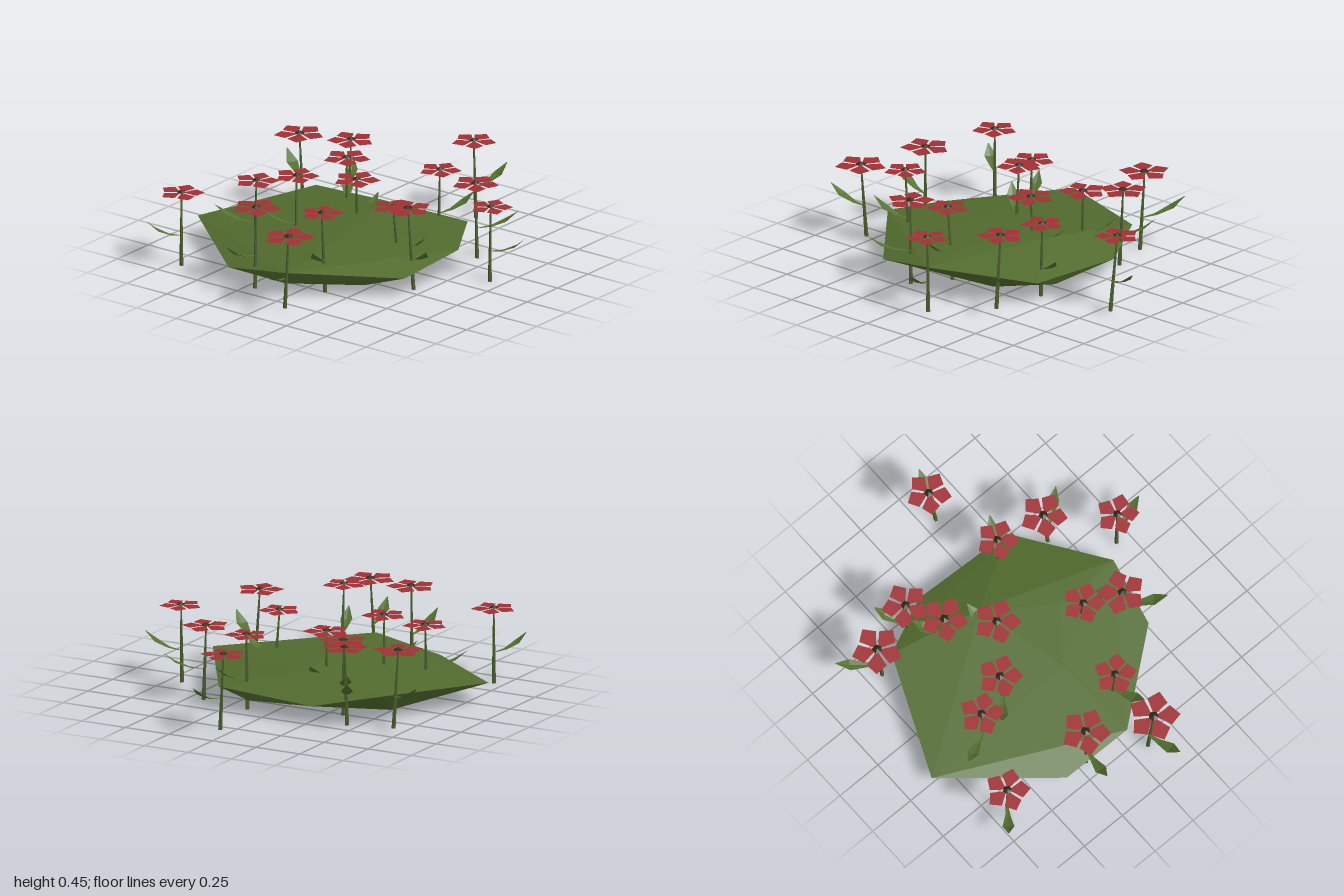
import * as THREE from 'three';
import { ConvexGeometry } from 'three/addons/geometries/ConvexGeometry.js';

const material = (color, side = THREE.FrontSide) =>
  new THREE.MeshStandardMaterial({ color, side, flatShading: true });

// Skin a strip through rows of points that all have the same length
function strip(rows) {
  const n = rows[0].length, index = [];
  for (let i = 0; i < rows.length - 1; i++) {
    for (let j = 0; j < n - 1; j++) {
      const a = i * n + j, b = a + n;
      index.push(a, a + 1, b, a + 1, b + 1, b);
    }
  }
  const geometry = new THREE.BufferGeometry();
  geometry.setAttribute('position', new THREE.Float32BufferAttribute(rows.flat(2), 3));
  geometry.setIndex(index);
  geometry.computeVertexNormals();
  return geometry;
}

// head [x, z, height], foot [x, z], leaf tip [x, z], petal angle in degrees, head scale
const FLOWERS = [
  [[-0.63, -0.69, 0.405], [-0.63, -0.69], [-0.77, -0.8], -18, 1],
  [[0.355, -0.7, 0.425], [0.35, -0.67], [0.475, -0.87], 6, 1.12],
  [[-0.235, -0.52, 0.39], [-0.25, -0.52], [-0.345, -0.7], -20, 1],
  [[-0.155, -0.33, 0.435], [-0.17, -0.32], [-0.3, -0.44], -16, 1],
  [[0.265, -0.335, 0.405], [0.26, -0.33], [0.4, -0.43], -5, 1.05],
  [[0.44, -0.44, 0.425], [0.415, -0.44], [0.575, -0.53], 12, 1.05],
  [[0.09, -0.14, 0.385], [0.1, -0.14], [0.295, -0.16], -12, 1.05],
  [[-0.66, -0.2, 0.445], [-0.665, -0.2], [-0.865, -0.235], -8, 1.1],
  [[-0.81, 0.12, 0.405], [-0.8, 0.09], [-1, 0.13], -19, 1.15],
  [[-0.525, 0.11, 0.445], [-0.495, 0.11], [-0.68, 0.17], -25, 0.95],
  [[0.82, 0.04, 0.415], [0.8, 0.07], [0.99, 0.12], -4, 1],
  [[0.41, 0.14, 0.405], [0.4, 0.14], [0.575, 0.23], -10, 0.95],
  [[-0.12, 0.25, 0.39], [-0.08, 0.26], [-0.09, 0.43], -15, 0.95],
  [[0.36, 0.4, 0.405], [0.35, 0.42], [0.475, 0.58], -6, 1.05],
  [[-0.22, 0.42, 0.45], [-0.2, 0.44], [-0.335, 0.62], 23, 1.05],
  [[0.12, 0.68, 0.415], [0.12, 0.675], [0.165, 0.86], -18, 0.95],
];

export function createModel() {
  const model = new THREE.Group();
  model.name = 'flowerPatch';

  const stemMaterial = material(0x4c6030);
  const leafMaterial = material(0x557030, THREE.DoubleSide);
  const petalMaterial = material(0xa03034, THREE.DoubleSide);
  const centreMaterial = material(0x2e2a18);

  // Low faceted grassy mound: rim, crown, then underside
  const moundPoints = [
    [-0.26, 0.115, -0.87], [0.36, 0.155, -0.6], [0.51, 0.1, -0.29],
    [0.48, 0.12, 0.26], [0.01, 0.175, 0.56], [-0.34, 0.11, 0.49],
    [-0.71, 0.145, 0.03], [-0.69, 0.085, -0.35],
    [0.24, 0.198, -0.12], [0, 0.186, 0.2], [-0.25, 0.178, 0],
    [-0.4, 0.045, 0.28], [0.2, 0.035, 0.27], [0.2, 0.032, 0],
    [0.46, 0.065, 0.1], [0.2, 0.045, -0.57], [-0.2, 0.05, -0.6],
    [-0.68, 0.075, 0],
  ].map((p) => new THREE.Vector3(...p));
  const mound = new THREE.Mesh(new ConvexGeometry(moundPoints), material(0x516b2e));
  mound.name = 'mound';
  model.add(mound);

  // Leaf of unit reach arching along +x, lightly folded at the midrib
  const leafGeometry = strip([
    [0, 0.16, 0.004], [0.35, 0.17, 0.015], [0.7, 0.198, 0.03], [1, 0.25, 0.002],
  ].map(([x, y, w]) => [[x, y + w * 0.2, -w], [x, y, 0], [x, y + w * 0.2, w]]));

  // Kite-shaped petal along +x, pointed at the tip
  const petalGeometry = strip([
    [0.012, -0.01, 0.004], [0.075, -0.01, 0.045], [0.116, -0.01, 0.001],
  ].map(([r, y, w]) => [[r, y, -w], [r, y, w]]));
  const centreGeometry = new THREE.ConeGeometry(0.024, 0.014, 5);

  FLOWERS.forEach(([[x, z, height], [footX, footZ], [tipX, tipZ], petalAngle, scale], i) => {
    const flower = new THREE.Group();
    flower.name = `flower${i + 1}`;
    flower.position.set(footX, 0, footZ);

    // Tapered stem sheared towards the head so its foot stays flat
    const length = height - 0.012;
    const stemGeometry = new THREE.CylinderGeometry(0.004, 0.011, length, 5);
    stemGeometry.translate(0, length / 2, 0);
    const p = stemGeometry.attributes.position;
    for (let k = 0; k < p.count; k++) {
      const t = p.getY(k) / length;
      p.setX(k, p.getX(k) + t * (x - footX));
      p.setZ(k, p.getZ(k) + t * (z - footZ));
    }
    const stem = new THREE.Mesh(stemGeometry, stemMaterial);
    stem.name = 'stem';

    const leaf = new THREE.Mesh(leafGeometry, leafMaterial);
    leaf.name = 'leaf';
    leaf.rotation.y = -Math.atan2(tipZ - footZ, tipX - footX);
    leaf.scale.set(Math.hypot(tipX - footX, tipZ - footZ), height / 0.41, 1);

    // Five petals around a dark centre
    const head = new THREE.Group();
    head.name = 'flowerHead';
    head.position.set(x - footX, height - 0.007, z - footZ);
    head.rotation.y = -THREE.MathUtils.degToRad(petalAngle);
    head.scale.set(scale, 1, scale);
    for (let k = 0; k < 5; k++) {
      const petal = new THREE.Mesh(petalGeometry, petalMaterial);
      petal.name = 'petal';
      petal.rotation.y = (k * Math.PI * 2) / 5;
      head.add(petal);
    }
    const centre = new THREE.Mesh(centreGeometry, centreMaterial);
    centre.name = 'flowerCentre';
    head.add(centre);

    flower.add(stem, leaf, head);
    model.add(flower);
  });

  return model;
}
